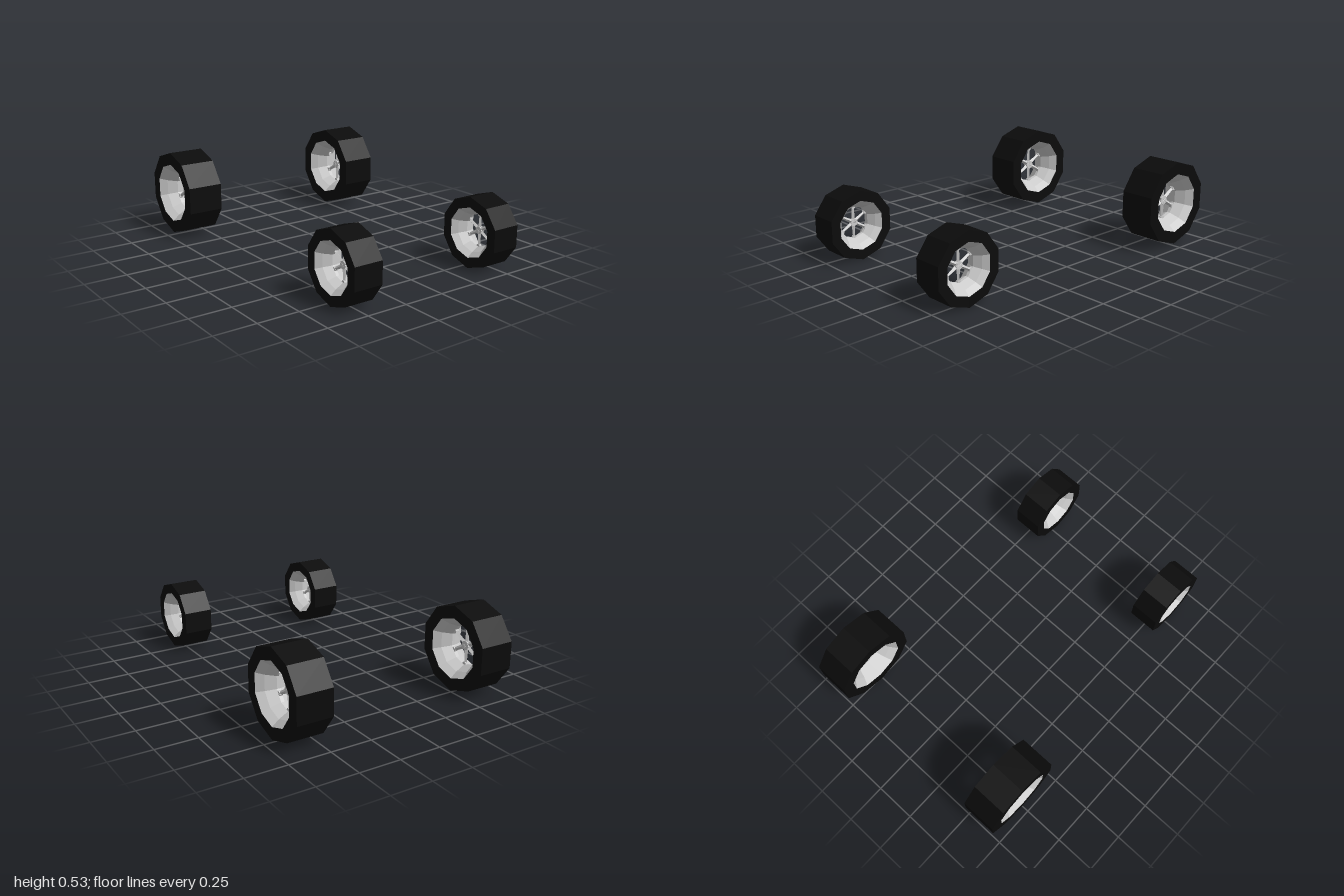
import * as THREE from 'three';

const SIDES = 10;
const rubber = new THREE.MeshStandardMaterial({ color: 0x0b0b0b, flatShading: true });
const metal = new THREE.MeshStandardMaterial({ color: 0xcccccc, flatShading: true });

function addMesh(parent, name, geometry, material) {
  const mesh = new THREE.Mesh(geometry, material);
  mesh.name = name;
  parent.add(mesh);
  return mesh;
}

// Ten-sided ring turned about the x axis with a corner at the top; points are [radius, x]
function turned(points) {
  return new THREE.LatheGeometry(points.map(([r, x]) => new THREE.Vector2(r, x)), SIDES)
    .rotateY(Math.PI / 2).rotateZ(-Math.PI / 2);
}

// Short cylinder lying along the x axis
function disc(radius, depth, sides) {
  return new THREE.CylinderGeometry(radius, radius, depth, sides).rotateZ(-Math.PI / 2);
}

function createWheel(name, R, width) {
  const wheel = new THREE.Group();
  wheel.name = name;
  const h = width / 2;

  // Tyre: flat tread and flat side walls
  addMesh(wheel, 'tyre', turned([[0.71 * R, -h], [R, -h], [R, h], [0.71 * R, h]]), rubber);

  // Rim: sloping lip and deep dish on both sides, open in the middle
  addMesh(wheel, 'rim', turned([
    [0.71 * R, h], [0.58 * R, 0.62 * h], [0.46 * R, 0.1 * h],
    [0.46 * R, -0.1 * h], [0.58 * R, -0.62 * h], [0.71 * R, -h],
  ]), metal);

  // Hub and six tapered spokes, each ending in a bolt
  addMesh(wheel, 'hub', disc(0.11 * R, 0.26 * h, 8), metal);
  for (let i = 0; i < 6; i++) {
    const arm = new THREE.Group();
    arm.name = 'spokeArm';
    arm.rotation.x = i * Math.PI / 3;
    const spoke = new THREE.CylinderGeometry(0.035 * R, 0.06 * R, 0.46 * R, 4)
      .translate(0, 0.23 * R, 0);
    addMesh(arm, 'spoke', spoke, metal);
    addMesh(arm, 'bolt', disc(0.06 * R, 0.2 * h, 8), metal).position.y = 0.45 * R;
    wheel.add(arm);
  }
  return wheel;
}

export function createModel() {
  const model = new THREE.Group();
  model.name = 'wheelSet';
  // name, radius, width, position
  const wheels = [
    ['frontLeftWheel', 0.213, 0.177, [0.473, 0.213, 0.797]],
    ['frontRightWheel', 0.213, 0.177, [-0.499, 0.213, 0.797]],
    ['rearLeftWheel', 0.26, 0.216, [0.594, 0.274, -0.753]],
    ['rearRightWheel', 0.26, 0.216, [-0.598, 0.274, -0.753]],
  ];
  for (const [name, radius, width, position] of wheels) {
    const wheel = createWheel(name, radius, width);
    wheel.position.set(...position);
    model.add(wheel);
  }
  return model;
}
